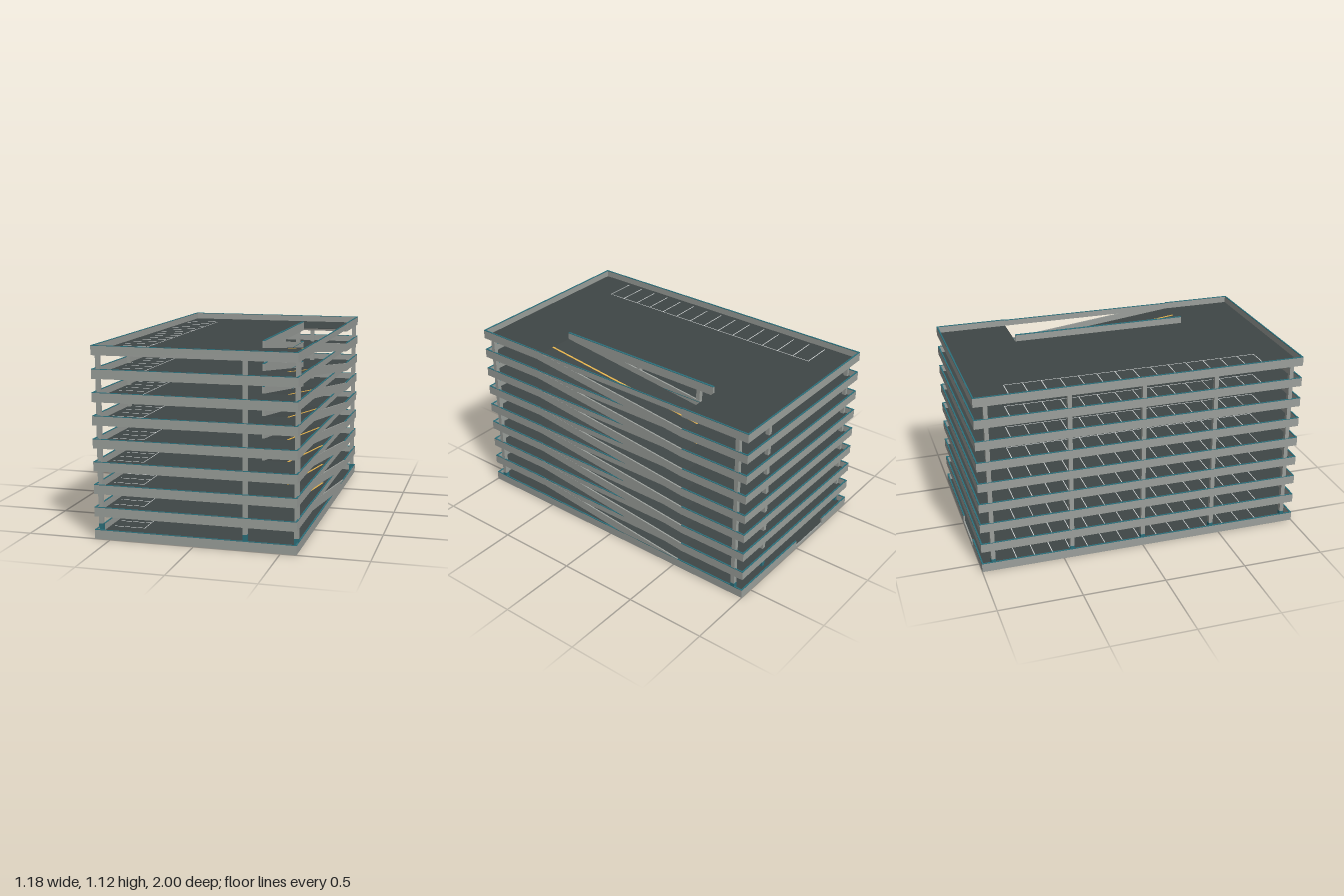
import * as THREE from 'three';

const mat = (name, color) => {
  const m = new THREE.MeshStandardMaterial({ color });
  m.name = name;
  return m;
};

export function createModel() {
  const concrete = mat('concrete', 0x9b9f9b);
  const asphalt = mat('asphalt', 0x3f4646);
  const soffit = mat('soffitConcrete', 0x888884);
  const teal = mat('tealTrim', 0x2b707c);
  const white = mat('whitePaint', 0xd4d8d8);
  const yellow = mat('yellowPaint', 0xe6b34c);

  const LEVELS = 9, STEP = 0.133, W = 0.592, D = 1, T = 0.009;
  const FLOOR = 0.015, TOP = 0.053, CAP = 0.003;
  const RX = 0.29, RZ = 0.555; // ramp opening
  const model = new THREE.Group();
  model.name = 'parkingGarage';

  // box given by its limits; rise shears it along z into a ramp
  function box(parent, name, m, x0, x1, y0, y1, z0, z1, rise = 0) {
    const g = new THREE.BoxGeometry(x1 - x0, y1 - y0, z1 - z0);
    g.translate((x0 + x1) / 2, (y0 + y1) / 2, (z0 + z1) / 2);
    if (rise) {
      const p = g.attributes.position;
      for (let i = 0; i < p.count; i++) {
        p.setY(i, p.getY(i) + rise * (p.getZ(i) - z1) / (z1 - z0));
      }
      g.computeVertexNormals();
    }
    const mesh = new THREE.Mesh(g, m);
    mesh.name = name;
    parent.add(mesh);
  }

  // low wall with a teal coping
  function parapet(parent, name, x0, x1, z0, z1, y0 = 0, y1 = TOP) {
    box(parent, name, concrete, x0, x1, y0, y1, z0, z1);
    box(parent, name + 'Coping', teal, x0, x1, y1, y1 + CAP, z0, z1);
  }

  // floor plate, notched on one side for the ramp
  function plate(parent, name, m, y, h, open) {
    const x = W - T, z = D - T;
    const pts = [[-x, -z], [x, -z]];
    if (open) pts.push([x, -RZ], [RX, -RZ], [RX, RZ], [x, RZ]);
    pts.push([x, z], [-x, z]);
    const shape = new THREE.Shape(pts.map(p => new THREE.Vector2(p[0], p[1])));
    const g = new THREE.ExtrudeGeometry(shape, { depth: h, bevelEnabled: false });
    g.rotateX(-Math.PI / 2);
    const mesh = new THREE.Mesh(g, m);
    mesh.name = name;
    mesh.position.y = y;
    parent.add(mesh);
  }

  for (let k = 0; k < LEVELS; k++) {
    const level = new THREE.Group();
    level.name = 'level' + k;
    level.position.y = k * STEP;
    model.add(level);

    // floor
    plate(level, 'slab', soffit, 0, FLOOR - 0.003, k > 0);
    plate(level, 'deck', asphalt, FLOOR - 0.003, 0.003, k > 0);

    // outer parapets
    parapet(level, 'frontParapet', -W, W, D - T, D);
    parapet(level, 'sideParapet', -W, -W + T, -D + T, D - T);
    if (k === 0) {
      parapet(level, 'rampSideParapet', W - T, W, -D + T, D - T);
      // entrance gap in the back wall
      parapet(level, 'backParapetA', -W, -0.3, -D, -D + T);
      parapet(level, 'backParapetB', 0, W, -D, -D + T);
      box(level, 'entranceSill', concrete, -0.3, 0, 0, FLOOR, -D, -D + T);
    } else {
      parapet(level, 'backParapet', -W, W, -D, -D + T);
      parapet(level, 'rampSideParapetFront', W - T, W, RZ, D - T);
      parapet(level, 'rampSideParapetBack', W - T, W, -D + T, -RZ);
      parapet(level, 'rampRail', W - T, W - 0.001, -RZ, RZ, FLOOR, TOP - 0.003);
      parapet(level, 'rampOpeningParapet', RX - 0.005, RX + 0.008, -RZ, RZ, 0, TOP + 0.002);

      // ramp down to the level below
      const ramp = new THREE.Group();
      ramp.name = 'ramp';
      level.add(ramp);
      box(ramp, 'rampSlab', soffit, RX, W - T, 0, FLOOR - 0.003, -RZ, RZ, STEP);
      box(ramp, 'rampDeck', asphalt, RX, W - T, FLOOR - 0.003, FLOOR, -RZ, RZ, STEP);
      box(ramp, 'rampCentreLine', yellow, 0.435, 0.447, FLOOR, FLOOR + 0.002, -RZ, RZ, STEP);
      box(ramp, 'rampOuterWall', concrete, W - T, W, 0, TOP, -RZ, RZ, STEP);
      box(ramp, 'rampInnerWall', concrete, RX - 0.003, RX + 0.007, 0, TOP, -RZ, RZ, STEP);
    }

    // parking bay markings
    for (let i = 0; i < 15; i++) {
      const z = -0.777 + i * 0.111;
      box(level, 'bayLine', white, -0.557, -0.371, FLOOR, FLOOR + 0.001, z - 0.0025, z + 0.0025);
    }
    box(level, 'bayEndLine', white, -0.371, -0.367, FLOOR, FLOOR + 0.001, -0.7795, 0.7795);

    // columns up to the next level, with teal bases on the ground floor
    if (k === LEVELS - 1) continue;
    for (const x of [-0.578, 0.283, 0.578]) {
      for (const z of [-0.93, -0.447, 0, 0.447, 0.93]) {
        if (x > 0.5 && Math.abs(z) < 0.9) continue;
        const h = 0.0125, b = h + 0.0006;
        box(level, 'column', concrete, x - h, x + h, FLOOR, STEP, z - h, z + h);
        if (k === 0) {
          box(level, 'columnBase', teal, x - b, x + b, FLOOR, 0.075, z - b, z + b);
        }
      }
    }
  }
  return model;
}
